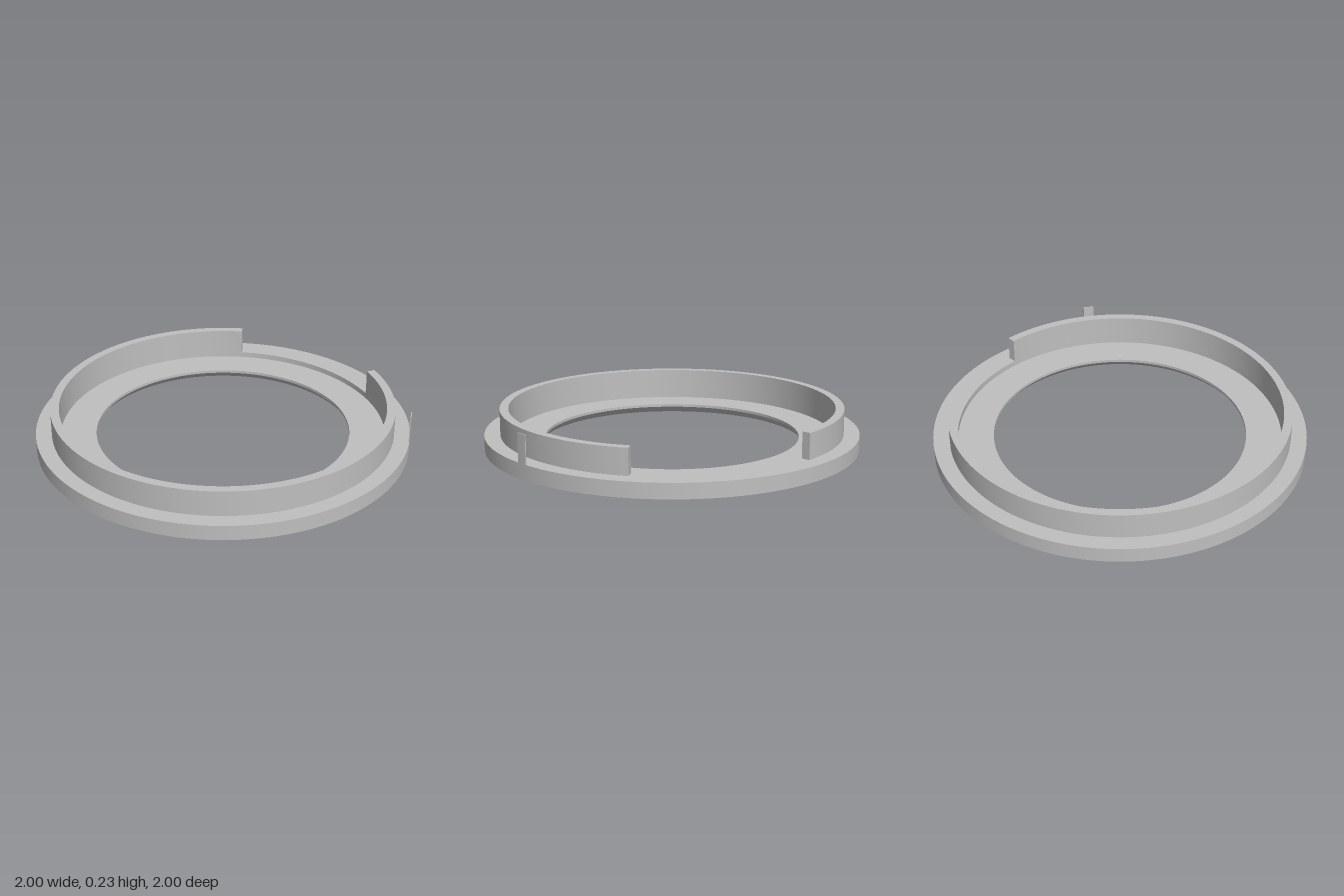
import * as THREE from 'three';
import { toCreasedNormals } from 'three/addons/utils/BufferGeometryUtils.js';

const gray = new THREE.MeshStandardMaterial({ color: 0xbfbfbf });
gray.name = 'plainGray';

function part(name, geometry) {
  const mesh = new THREE.Mesh(toCreasedNormals(geometry, 0.4), gray);
  mesh.name = name;
  return mesh;
}

// Extrude a plan shape upwards from y0 to y1
function upright(shape, y0, y1) {
  const g = new THREE.ExtrudeGeometry(shape, { depth: y1 - y0, bevelEnabled: false, curveSegments: 64 });
  return g.rotateX(-Math.PI / 2).translate(0, y0, 0);
}

// Plan of a ring segment between two angles
function sector(inner, outer, a0, a1) {
  const s = new THREE.Shape();
  s.absarc(0, 0, outer, a0, a1, false);
  s.absarc(0, 0, inner, a1, a0, true);
  s.closePath();
  return s;
}

export function createModel() {
  const model = new THREE.Group();
  model.name = 'ringMount';
  const deg = Math.PI / 180;
  const pocket = 0.025;

  // Base ring: sealing groove below, stepped floor, chamfered bore
  const profile = [
    [0.71, pocket], [0.94, pocket], [0.94, 0.03], [0.975, 0.03], [0.975, 0],
    [1, 0], [1, 0.08], [0.87, 0.08], [0.87, 0.05], [0.68, 0.05],
    [0.68, 0.035], [0.71, 0],
  ].map(([r, y]) => new THREE.Vector2(r, y));
  model.add(part('baseRing', new THREE.LatheGeometry(profile, 128)));

  // Underside plate with radial slots, longer at each quarter
  const plate = new THREE.Shape();
  plate.absarc(0, 0, 0.94, 0, Math.PI * 2, false);
  const bore = new THREE.Path();
  bore.absarc(0, 0, 0.71, 0, Math.PI * 2, true);
  plate.holes.push(bore);
  for (let i = 0; i < 24; i++) {
    const a = i * 15 * deg;
    const r0 = i % 6 === 0 ? 0.785 : 0.83;
    const w = 0.011;
    const corners = [[r0, -w], [r0, w], [0.89, w], [0.89, -w]].map(
      ([r, t]) => new THREE.Vector2(r * Math.cos(a) - t * Math.sin(a), r * Math.sin(a) + t * Math.cos(a)));
    plate.holes.push(new THREE.Path(corners));
  }
  model.add(part('slottedUnderside', upright(plate, 0, pocket)));

  // Raised collar, open on the +x side
  model.add(part('collarWall', upright(sector(0.87, 0.916, 30 * deg, 330 * deg), 0.08, 0.217)));

  // Thin upright tab on the outer edge
  model.add(part('indexTab', upright(sector(0.995, 1, -65.4 * deg, -62 * deg), 0.08, 0.23)));

  return model;
}
